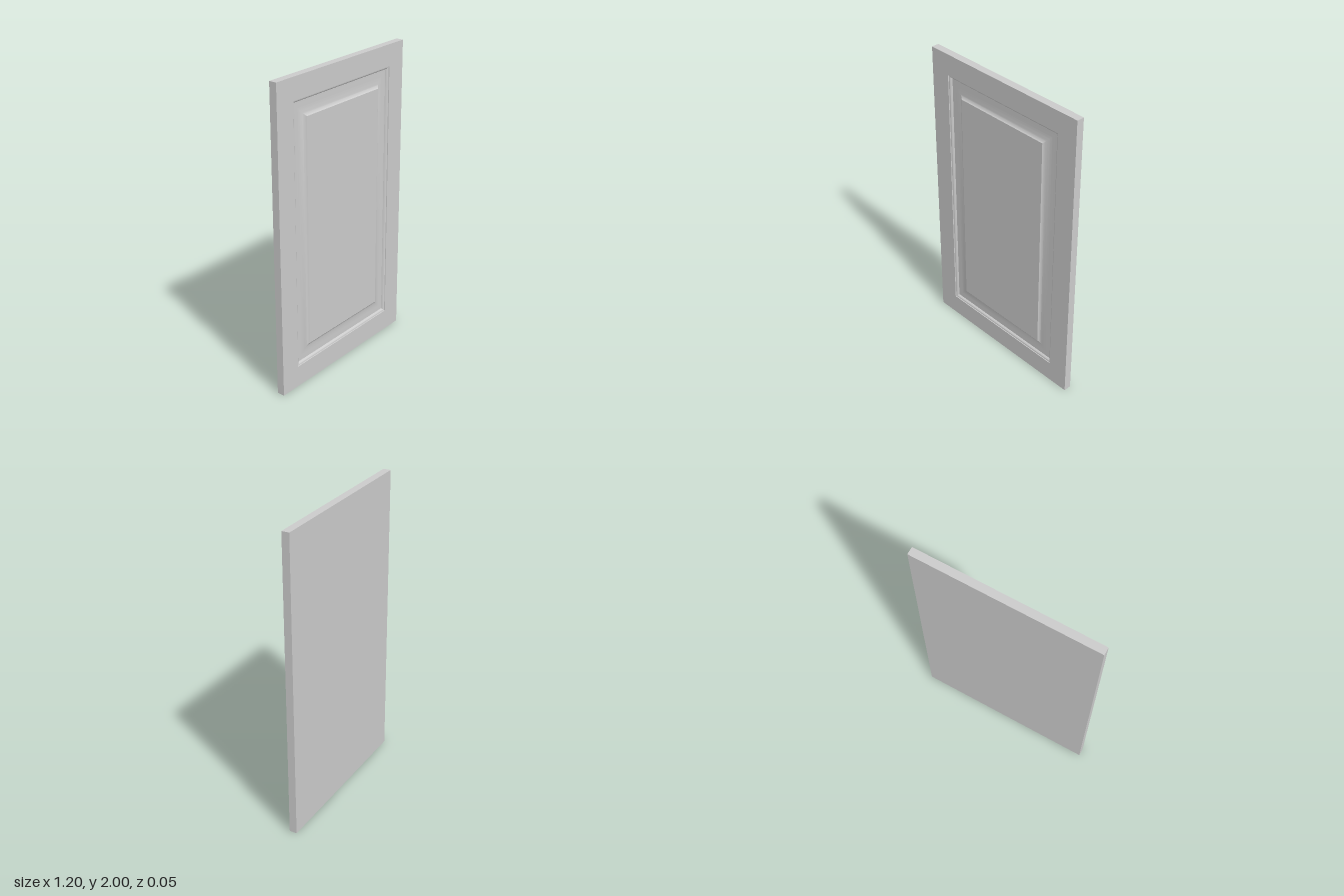
import * as THREE from 'three';
import { toCreasedNormals } from 'three/addons/utils/BufferGeometryUtils.js';

const HALF_W = 0.6, HALF_H = 1, HALF_D = 0.025;

// Mitred rectangular rings swept from a profile of [inset from door edge, z]
function mitredRings(profile) {
  const positions = [];
  const corners = [[-1, -1], [1, -1], [1, 1], [-1, 1]];
  const corner = ([inset, z], k) => {
    const [sx, sy] = corners[k % 4];
    return [sx * (HALF_W - inset), HALF_H + sy * (HALF_H - inset), z];
  };
  for (let i = 0; i < profile.length - 1; i++) {
    for (let k = 0; k < 4; k++) {
      const a = corner(profile[i], k), b = corner(profile[i], k + 1);
      const c = corner(profile[i + 1], k + 1), d = corner(profile[i + 1], k);
      positions.push(...a, ...b, ...c, ...a, ...c, ...d);
    }
  }
  const geometry = new THREE.BufferGeometry();
  geometry.setAttribute('position', new THREE.Float32BufferAttribute(positions, 3));
  return toCreasedNormals(geometry, 0.45);
}

export function createModel() {
  const door = new THREE.Group();
  door.name = 'cabinetDoor';
  const material = new THREE.MeshStandardMaterial({ color: 0xcccccc });

  const add = (name, geometry) => {
    const mesh = new THREE.Mesh(geometry, material);
    mesh.name = name;
    door.add(mesh);
    return mesh;
  };

  // Outer edges and flat front border
  add('frame', mitredRings([[0, -HALF_D], [0, HALF_D], [0.14, HALF_D]]));

  // Small stepped bead dropping into the recess
  add('innerBead', mitredRings([
    [0.14, HALF_D], [0.141, 0.02], [0.147, 0.019], [0.152, 0.016],
    [0.156, 0.011], [0.158, 0.006], [0.162, 0.006],
  ]));

  // Shallow cove sweeping up from the recess to the raised panel
  const cove = [[0.162, 0.006]];
  for (let i = 0; i <= 8; i++) {
    const t = i / 8;
    cove.push([0.19 + 0.05 * t, 0.006 + 0.007 * t * t]);
  }
  cove.push([0.248, 0.017], [0.254, 0.021], [0.257, HALF_D]);
  add('panelCove', mitredRings(cove));

  // Flat raised field
  const inset = 0.257;
  add('raisedPanel', new THREE.PlaneGeometry(2 * (HALF_W - inset), 2 * (HALF_H - inset)))
    .position.set(0, HALF_H, HALF_D);

  // Plain back
  const back = add('back', new THREE.PlaneGeometry(2 * HALF_W, 2 * HALF_H));
  back.position.set(0, HALF_H, -HALF_D);
  back.rotation.y = Math.PI;

  return door;
}
